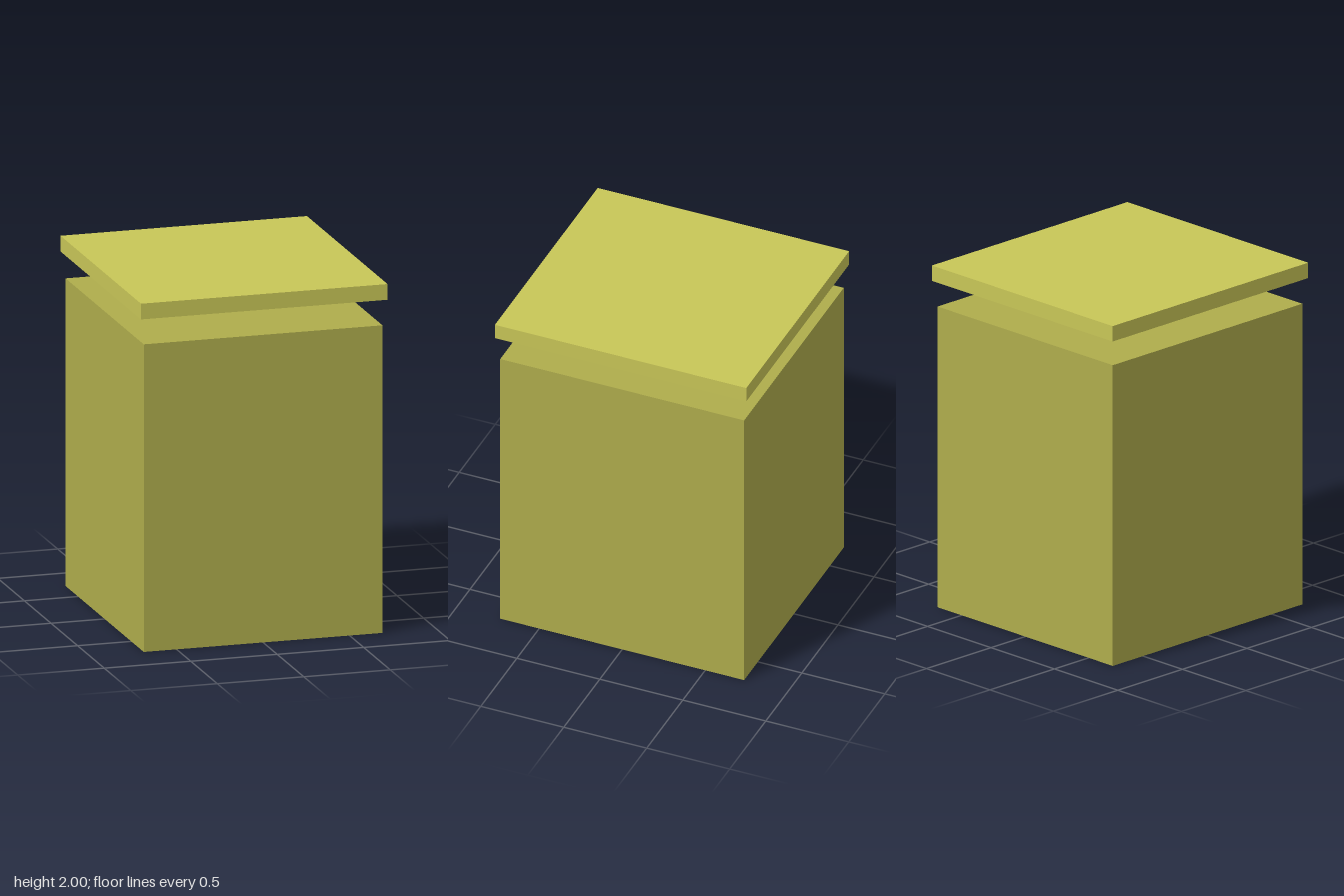
import * as THREE from 'three';

// Box standing between two heights, centred on the vertical axis
function slab(name, width, depth, bottom, top, color) {
  const mesh = new THREE.Mesh(
    new THREE.BoxGeometry(width, top - bottom, depth),
    new THREE.MeshStandardMaterial({ color })
  );
  mesh.name = name;
  mesh.position.y = (bottom + top) / 2;
  return mesh;
}

export function createModel() {
  const model = new THREE.Group();
  model.name = 'boxWithRaisedLid';

  // Main block
  model.add(slab('body', 1.38, 1.47, 0, 1.76, 0xafad4c));

  // Slightly wider lid floating above the body
  model.add(slab('lid', 1.425, 1.515, 1.91, 2, 0xc8c657));

  return model;
}
